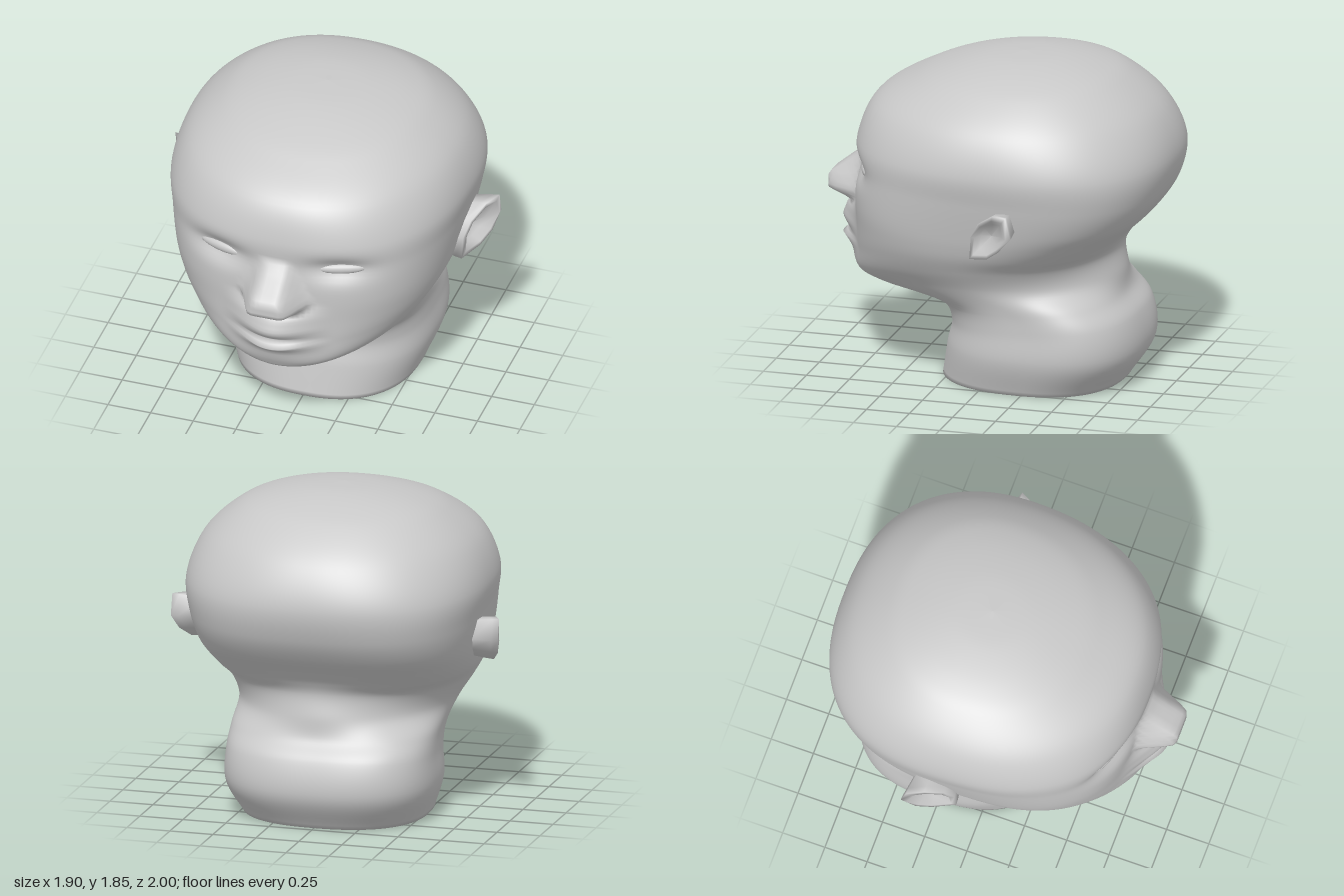
import * as THREE from 'three';

const skin = new THREE.MeshStandardMaterial({ color: 0xc8c8c8, side: THREE.DoubleSide });
skin.name = 'plain grey';

// Surface through equal-length closed rows of points, smooth across the seam
function skinRows(rows) {
  const n = rows[0].length, pos = [], idx = [];
  rows.forEach(r => r.forEach(p => pos.push(p.x, p.y, p.z)));
  for (let i = 0; i < rows.length - 1; i++) {
    for (let j = 0; j < n; j++) {
      const k = (j + 1) % n;
      const a = i * n + j, b = i * n + k, c = a + n, d = b + n;
      idx.push(a, b, c, b, d, c);
    }
  }
  const g = new THREE.BufferGeometry();
  g.setAttribute('position', new THREE.Float32BufferAttribute(pos, 3));
  g.setIndex(idx);
  g.computeVertexNormals();
  return g;
}

// Piecewise linear lookup in [key, value] pairs
function ramp(pts, t) {
  if (t <= pts[0][0]) return pts[0][1];
  for (let i = 1; i < pts.length; i++) {
    const [t0, v0] = pts[i - 1], [t1, v1] = pts[i];
    if (t <= t1) return v0 + (v1 - v0) * (t - t0) / (t1 - t0);
  }
  return pts[pts.length - 1][1];
}
const bump = (d, s) => Math.exp(-(d * d) / (s * s));

// Slanted rings: front z, front y, back z, back y, half width, squareness, upward curl of the jaw sides
const RINGS = [
  [0.32, 0.0, -0.71, 0.0, 0.52, 2.4, 0],
  [0.28, 0.2, -0.83, 0.2, 0.59, 2.6, 0],
  [0.25, 0.34, -0.8, 0.4, 0.585, 2.7, 0],
  [0.31, 0.45, -0.72, 0.51, 0.585, 2.5, 0],
  [0.72, 0.495, -0.7, 0.63, 0.61, 1.95, 0.28],
  [0.82, 0.55, -0.68, 0.76, 0.675, 2.0, 0.32],
  [0.81, 0.7, -0.71, 0.83, 0.73, 2.3, 0.22],
  [0.8, 0.85, -0.77, 0.9, 0.76, 2.55, 0.1],
  [0.8, 1.0, -0.87, 1.0, 0.785, 2.7, 0],
  [0.8, 1.2, -0.96, 1.14, 0.82, 2.6, 0],
  [0.8, 1.36, -1.0, 1.33, 0.845, 2.4, 0],
  [0.72, 1.56, -0.91, 1.56, 0.77, 2.2, 0],
  [0.48, 1.71, -0.7, 1.74, 0.59, 2.2, 0],
  [0.3, 1.78, -0.56, 1.8, 0.45, 2.2, 0],
  [0.1, 1.83, -0.35, 1.845, 0.23, 2.1, 0],
  [-0.12, 1.852, -0.12, 1.852, 0, 2, 0],
];

// Forward relief of nose and mouth, by height
const NOSE = [[0.92, 0], [0.945, 0.12], [0.98, 0.2], [1.06, 0.2], [1.18, 0.05], [1.24, 0]];
const NOSE_WIDTH = [[0.93, 0.2], [1.0, 0.22], [1.1, 0.16], [1.22, 0.11]];
const MOUTH = [[0.56, 0], [0.66, 0.05], [0.72, 0.12], [0.755, 0.07], [0.78, 0.1], [0.82, 0.13], [0.9, 0.1], [0.98, 0]];

function sculptFace(p) {
  if (p.z < 0.3 || p.y < 0.52) return;
  const x = Math.abs(p.x), y = p.y;
  const w = ramp(NOSE_WIDTH, y);
  const nose = ramp(NOSE, y) * (1 - THREE.MathUtils.smoothstep(x, w * 0.4, w));
  const mouth = ramp(MOUTH, y) * (1 - THREE.MathUtils.smoothstep(x, 0, 0.34));
  const socket = 0.06 * bump(x - 0.35, 0.17) * bump(y - 1.2, 0.07);
  p.z += Math.max(nose, mouth) - socket;
}

// Neck, jaw and skull as one spline-smoothed loft, closed underneath
function headGeometry() {
  const cols = 180, steps = (RINGS.length - 1) * 8;
  const rows = Array.from({ length: steps + 1 }, () => []);
  for (let j = 0; j < cols; j++) {
    const a = j / cols * Math.PI * 2, s = Math.sin(a), c = Math.cos(a);
    const column = RINGS.map(([fz, fy, bz, by, hw, n, curl]) => {
      const r = Math.pow(Math.abs(s) ** n + Math.abs(c) ** n, -1 / n);
      const f = (c * r + 1) / 2;
      const x = s * r * hw * (1 - 0.04 * c * r);
      return new THREE.Vector3(x, by + (fy - by) * f + curl * f * x * x, bz + (fz - bz) * f);
    });
    const curve = new THREE.CatmullRomCurve3(column, false, 'centripetal');
    rows.forEach((row, i) => {
      const p = curve.getPoint(i / steps);
      p.y = Math.max(p.y, 0);
      sculptFace(p);
      row.push(p);
    });
  }
  rows.unshift(rows[0].map(() => new THREE.Vector3(0, 0, -0.2)));
  return skinRows(rows);
}

// Ear: outline (z, y) repeated as back, rim and hollow; flares out to the rear
const EAR = [[-0.04, 0.87], [-0.05, 1.0], [-0.1, 1.09], [-0.2, 1.16], [-0.29, 1.17], [-0.32, 1.05], [-0.24, 0.96], [-0.16, 0.9]];
const EAR_LOOPS = [[0.85, -0.16], [0.97, -0.04], [1, 0], [0.8, 0], [0.55, -0.05], [0.01, -0.07]];

function earGeometry(side) {
  const cz = -0.17, cy = 1.02;
  const outline = side > 0 ? [...EAR].reverse() : EAR;
  const rows = EAR_LOOPS.map(([s, out]) => outline.map(([z, y]) => {
    const pz = cz + (z - cz) * s;
    const x = Math.min(0.95, 0.81 + (-0.04 - pz) * 0.58) + out;
    return new THREE.Vector3(side * x, cy + (y - cy) * s, pz);
  }));
  return skinRows(rows);
}

export function createModel() {
  const model = new THREE.Group();
  model.name = 'head';
  const add = (name, geometry) => {
    const mesh = new THREE.Mesh(geometry, skin);
    mesh.name = name;
    model.add(mesh);
    return mesh;
  };

  add('headAndNeck', headGeometry());

  for (const side of [1, -1]) {
    const label = side > 0 ? 'left' : 'right';
    add(label + 'Ear', earGeometry(side));
    // Narrow almond eye set in the socket
    const eye = add(label + 'Eye', new THREE.SphereGeometry(1, 16, 10));
    eye.scale.set(0.14, 0.032, 0.03);
    eye.position.set(side * 0.35, 1.195, 0.695);
    eye.rotation.set(0, side * 0.3, side * 0.03);
  }
  return model;
}
